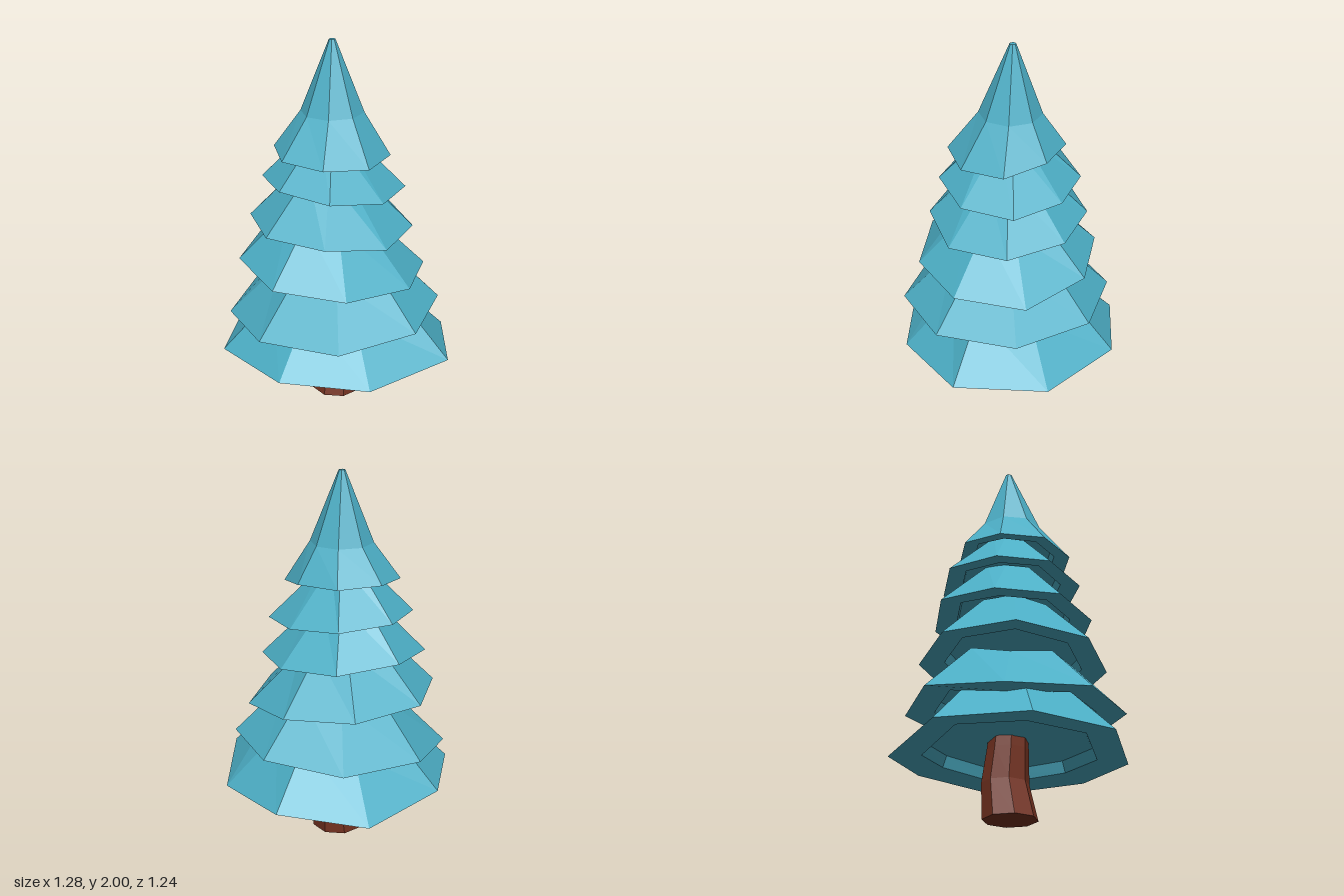
import * as THREE from 'three';

const SIDES = 8;

// One octagonal ring; radius and y are numbers or a value for each corner
function ring(x, z, radius, y, turn = 0) {
  const at = (value, i) => (Array.isArray(value) ? value[i] : value);
  return Array.from({ length: SIDES }, (_, i) => {
    const a = THREE.MathUtils.degToRad(turn) + (i / SIDES) * Math.PI * 2;
    const r = at(radius, i);
    return new THREE.Vector3(x + r * Math.cos(a), at(y, i), z + r * Math.sin(a));
  });
}

// Faceted skin through successive rings; a ring of radius 0 closes an end
function loft(rings) {
  const points = [];
  const addTriangle = (a, b, c) => {
    if (new THREE.Triangle(a, b, c).getArea() > 1e-7) points.push(a, b, c);
  };
  for (let r = 0; r < rings.length - 1; r++) {
    for (let i = 0; i < SIDES; i++) {
      const j = (i + 1) % SIDES;
      const [a, b, c, d] = [rings[r][i], rings[r][j], rings[r + 1][j], rings[r + 1][i]];
      addTriangle(a, d, c);
      addTriangle(a, c, b);
    }
  }
  const geometry = new THREE.BufferGeometry().setFromPoints(points);
  geometry.computeVertexNormals();
  return geometry;
}

// Branch tiers from the ground up: centre, turn in degrees, corner radii, corner heights
const tiers = [
  {
    x: -0.03, z: 0, turn: 0,
    reach: [0.67, 0.605, 0.615, 0.645, 0.615, 0.62, 0.62, 0.615],
    rim: [0.355, 0.32, 0.345, 0.335, 0.355, 0.30, 0.345, 0.31],
  },
  {
    x: -0.035, z: 0.025, turn: 13.6,
    reach: [0.572, 0.57, 0.57, 0.575, 0.57, 0.57, 0.57, 0.568],
    rim: [0.56, 0.535, 0.53, 0.495, 0.56, 0.56, 0.58, 0.57],
  },
  {
    x: -0.045, z: 0.025, turn: 7.5,
    reach: [0.495, 0.485, 0.51, 0.505, 0.508, 0.495, 0.49, 0.5],
    rim: [0.77, 0.785, 0.815, 0.84, 0.84, 0.82, 0.80, 0.75],
  },
  {
    x: -0.055, z: 0.02, turn: 20,
    reach: [0.43, 0.425, 0.438, 0.437, 0.435, 0.42, 0.415, 0.43],
    rim: [1.0, 1.04, 1.05, 1.05, 1.08, 1.05, 1.03, 1.01],
  },
  {
    x: -0.057, z: 0, turn: 18,
    reach: [0.375, 0.385, 0.368, 0.375, 0.378, 0.36, 0.35, 0.38],
    rim: [1.225, 1.26, 1.28, 1.27, 1.28, 1.26, 1.24, 1.22],
  },
  {
    x: -0.056, z: 0.03, turn: 22,
    reach: [0.312, 0.31, 0.31, 0.295, 0.302, 0.305, 0.298, 0.312],
    rim: [1.405, 1.42, 1.43, 1.44, 1.46, 1.455, 1.45, 1.41],
  },
];

function tierGeometry({ x, z, turn, reach, rim }, isTop) {
  const raised = (amount) => rim.map((y) => y + amount);
  const scaled = (factor) => reach.map((r) => r * factor);
  const level = rim.reduce((sum, y) => sum + y, 0) / SIDES;
  const rings = [
    // Recessed underside
    ring(x, z, 0, level + 0.075),
    ring(x, z, scaled(0.69), raised(0.075), turn),
    ring(x, z, scaled(0.73), raised(0.015), turn),
    // Drooping rim
    ring(x, z, reach, rim, turn),
  ];
  if (isTop) {
    // Pointed crown with a small flat tip
    rings.push(
      ring(-0.055, 0.01, 0.165, 1.63, turn),
      ring(-0.06, 0, 0.017, 2, turn),
      ring(-0.06, 0, 0, 2, turn),
    );
  } else {
    // Sloping shoulder, tucked under the next tier
    rings.push(
      ring(x, z, reach.map((r) => r - 0.28), raised(0.28), turn),
      ring(x, z, 0, level + 0.28),
    );
  }
  return loft(rings);
}

export function createModel() {
  const foliage = new THREE.MeshStandardMaterial({ color: 0x4caec5, flatShading: true });
  const bark = new THREE.MeshStandardMaterial({ color: 0x763321, flatShading: true });
  const tree = new THREE.Group();
  tree.name = 'pineTree';

  // Bent trunk
  const trunk = new THREE.Mesh(loft([
    ring(-0.04, 0, 0, 0),
    ring(-0.04, 0, 0.141, 0),
    ring(-0.04, -0.031, 0.122, 0.19),
    ring(-0.04, -0.016, 0.108, 0.36),
    ring(-0.04, -0.01, 0.1, 0.46),
    ring(-0.04, -0.01, 0, 0.46),
  ]), bark);
  trunk.name = 'trunk';
  tree.add(trunk);

  // Stacked branch tiers
  tiers.forEach((tier, i) => {
    const isTop = i === tiers.length - 1;
    const mesh = new THREE.Mesh(tierGeometry(tier, isTop), foliage);
    mesh.name = isTop ? 'crown' : `branchTier${i + 1}`;
    tree.add(mesh);
  });
  return tree;
}
